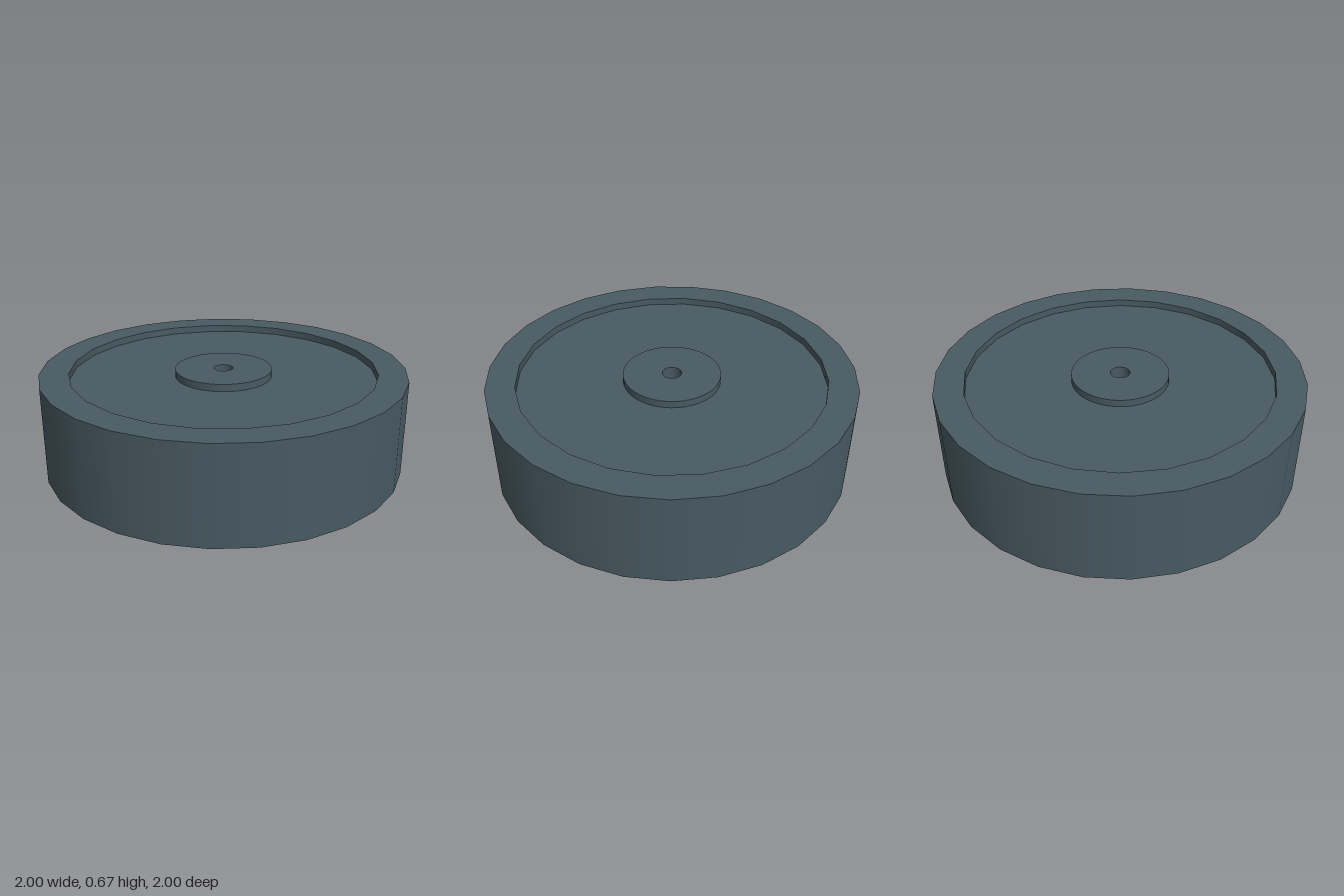
import * as THREE from 'three';

// Outlines: radius and number of sides
const RIM = { r: 1.003, n: 27 };
const RECESS = { r: 0.843, n: 24 };
const HUB = { r: 0.266, n: 64 };
const BORE = { r: 0.053, n: 32 };

// Heights
const BASE = 0, UNDERSIDE = 0.135, FLOOR = 0.63, TOP = 0.67;

const COLOR = 0x485a62;
const outward = new THREE.MeshStandardMaterial({ color: COLOR });
const inward = new THREE.MeshStandardMaterial({ color: COLOR, side: THREE.BackSide });

// Corners of a regular outline, with one corner on +x
function corners({ r, n }) {
  return Array.from({ length: n }, (_, i) => {
    const a = (i / n) * Math.PI * 2;
    return new THREE.Vector2(r * Math.cos(a), r * Math.sin(a));
  });
}

export function createModel() {
  const wheel = new THREE.Group();
  wheel.name = 'wheel';

  function add(name, geometry, material) {
    const mesh = new THREE.Mesh(geometry, material);
    mesh.name = name;
    wheel.add(mesh);
  }

  // Upright wall with smooth normals around it
  function wall(name, { r, n }, y0, y1, material) {
    const g = new THREE.CylinderGeometry(r, r, y1 - y0, n, 1, true, Math.PI / 2);
    add(name, g.translate(0, (y0 + y1) / 2, 0), material);
  }

  // Flat ring between two outlines, facing up or down
  function ring(name, outer, inner, y, up) {
    const shape = new THREE.Shape(corners(outer));
    shape.holes.push(new THREE.Path(corners(inner)));
    const g = new THREE.ShapeGeometry(shape);
    add(name, g.rotateX(up ? -Math.PI / 2 : Math.PI / 2).translate(0, y, 0), outward);
  }

  // Wheel body with a shallow recess on top
  wall('tread', RIM, UNDERSIDE, TOP, outward);
  ring('rimTop', RIM, RECESS, TOP, true);
  wall('recessWall', RECESS, FLOOR, TOP, inward);
  ring('recessFloor', RECESS, HUB, FLOOR, true);
  ring('underside', RIM, HUB, UNDERSIDE, false);

  // Hub, level with the rim above and standing out below
  wall('hubTopWall', HUB, FLOOR, TOP, outward);
  ring('hubTop', HUB, BORE, TOP, true);
  wall('hubBottomWall', HUB, BASE, UNDERSIDE, outward);
  ring('hubBottom', HUB, BORE, BASE, false);

  // Axle hole right through
  wall('axleBore', BORE, BASE, TOP, inward);

  // The odd-sided rim sits slightly off its own axis in x
  for (const part of wheel.children) part.geometry.translate(-0.003, 0, 0);
  return wheel;
}
